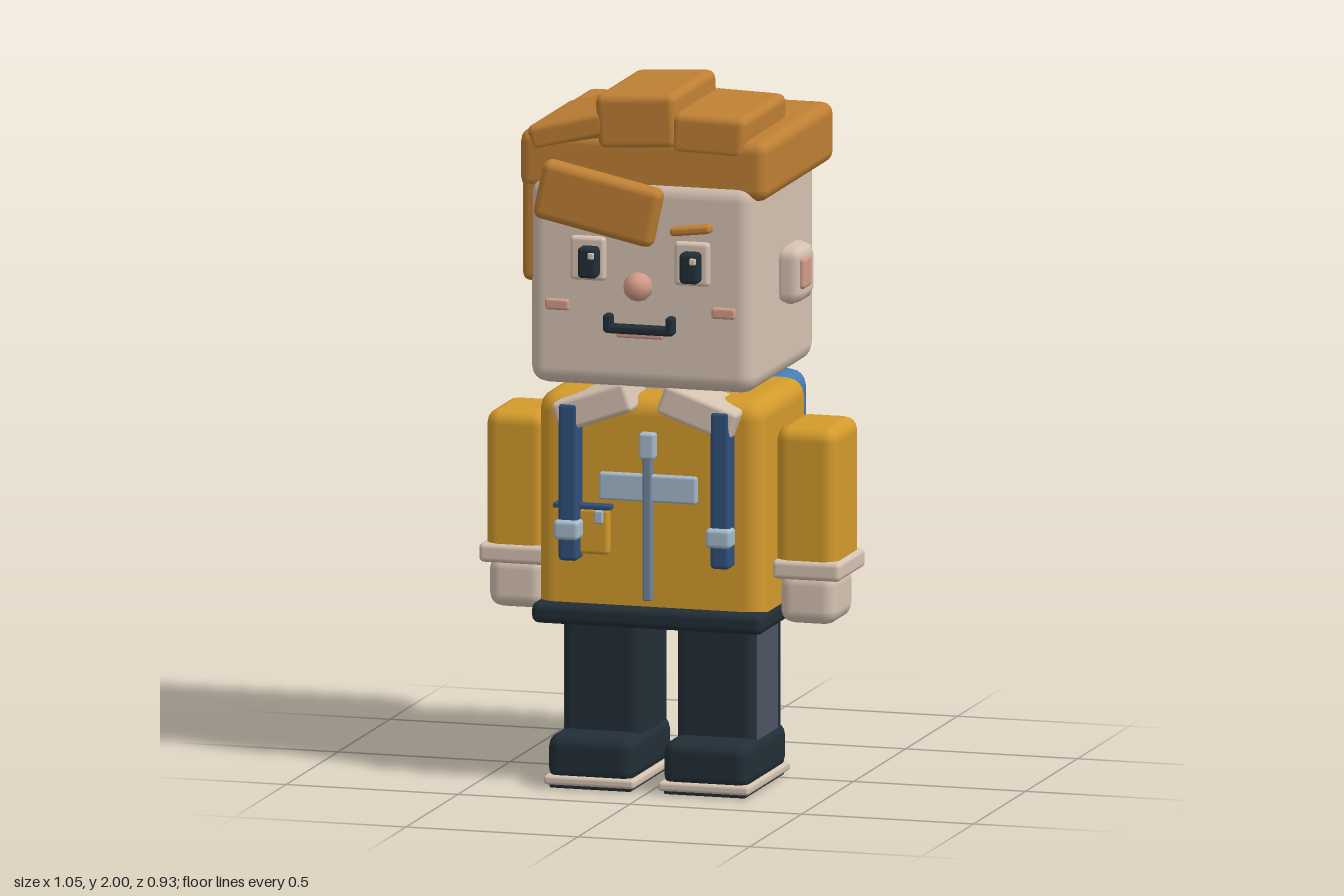
import * as THREE from 'three';
import { RoundedBoxGeometry } from 'three/addons/geometries/RoundedBoxGeometry.js';

export function createModel() {
  const root = new THREE.Group();
  root.name = 'blockyHiker';

  const mat = (name, color) => {
    const m = new THREE.MeshStandardMaterial({ color });
    m.name = name;
    return m;
  };
  const skin = mat('skin', 0xd6c3b2);
  const hair = mat('ginger hair', 0xc08034);
  const jacket = mat('yellow jacket', 0xd49b2c);
  const dark = mat('dark navy', 0x222e37);
  const grey = mat('grey stripe', 0x4c5364);
  const blue = mat('pack blue', 0x467cb5);
  const deepBlue = mat('deep blue', 0x304f7c);
  const silver = mat('silver', 0xa5bacb);
  const steel = mat('steel', 0x71869c);
  const pink = mat('pink', 0xd29c89);

  // Bevelled box given by its [min, max] range on each axis, with optional roll about z
  function box(name, material, [x0, x1], [y0, y1], [z0, z1], bevel = 0.03, roll = 0, seg = 2, parent = root) {
    const w = x1 - x0, h = y1 - y0, d = z1 - z0;
    const r = Math.min(bevel, 0.45 * Math.min(w, h, d));
    const mesh = new THREE.Mesh(new RoundedBoxGeometry(w, h, d, seg, r), material);
    mesh.name = name;
    mesh.position.set((x0 + x1) / 2, (y0 + y1) / 2, (z0 + z1) / 2);
    mesh.rotation.z = roll;
    parent.add(mesh);
    return mesh;
  }
  // Box placed on side s (+1 left, -1 right)
  const sided = (s, name, material, [a, b], y, z, bevel, roll = 0, seg = 2) =>
    box((s > 0 ? 'left' : 'right') + name, material, s > 0 ? [a, b] : [-b, -a], y, z, bevel, roll * s, seg);

  // Head and neck
  box('head', skin, [-0.33, 0.33], [1.155, 1.75], [-0.205, 0.395], 0.05);
  box('neck', skin, [-0.12, 0.12], [1.08, 1.2], [-0.04, 0.19], 0.02);

  // Hair: cap, side patch, top tufts and swept fringe
  box('hairCap', hair, [-0.362, 0.362], [1.7, 1.872], [-0.287, 0.38], 0.035);
  box('hairSide', hair, [-0.355, -0.205], [1.44, 1.76], [-0.24, 0.375], 0.025);
  box('hairTuftRight', hair, [-0.335, -0.105], [1.835, 1.91], [-0.025, 0.383], 0.02, 0.25);
  box('hairTuftMiddle', hair, [-0.137, 0.1], [1.83, 1.99], [-0.025, 0.385], 0.025, 0.06);
  box('hairTuftLeft', hair, [0.08, 0.3], [1.82, 1.942], [-0.025, 0.383], 0.025, -0.03);
  box('fringe', hair, [-0.298, 0.058], [1.595, 1.765], [0.365, 0.432], 0.025, -0.21);
  box('eyebrow', hair, [0.092, 0.21], [1.607, 1.632], [0.385, 0.427], 0.01, 0.12);

  // Eyes, with pupils glancing to the left
  for (const s of [-1, 1]) {
    const px = s * 0.148 + 0.006;
    sided(s, 'EyeWhite', skin, [0.1, 0.203], [1.46, 1.585], [0.38, 0.412], 0.012);
    box('pupil', dark, [px - 0.028, px + 0.028], [1.472, 1.56], [0.4, 0.448], 0.012);
    box('eyeGlint', skin, [px + 0.004, px + 0.022], [1.528, 1.547], [0.44, 0.455], 0.004);
    sided(s, 'Cheek', pink, [0.207, 0.277], [1.37, 1.402], [0.385, 0.406], 0.008);
    sided(s, 'MouthCorner', dark, [0.078, 0.103], [1.318, 1.37], [0.385, 0.425], 0.009);
    // Ears
    sided(s, 'Ear', skin, [0.31, 0.396], [1.37, 1.535], [0.005, 0.162], 0.036, 0, 1);
    sided(s, 'InnerEar', pink, [0.37, 0.402], [1.415, 1.505], [0.07, 0.146], 0.012);
  }
  box('mouth', dark, [-0.1, 0.1], [1.315, 1.341], [0.385, 0.422], 0.01);
  box('lowerLip', pink, [-0.068, 0.068], [1.303, 1.32], [0.385, 0.41], 0.006);
  const nose = new THREE.Mesh(new THREE.IcosahedronGeometry(0.042, 1), pink);
  nose.name = 'nose';
  nose.position.set(0, 1.453, 0.422);
  root.add(nose);

  // Jacket body and hem
  box('jacketBody', jacket, [-0.33, 0.33], [0.46, 1.12], [-0.135, 0.315], 0.055);
  box('hem', dark, [-0.337, 0.337], [0.465, 0.526], [-0.128, 0.345], 0.022);

  // Zip, chest band and chest pocket
  box('zip', steel, [-0.013, 0.013], [0.545, 0.97], [0.3, 0.338], 0.006);
  box('zipPull', silver, [-0.023, 0.023], [0.948, 1.022], [0.3, 0.345], 0.008);
  box('chestBand', silver, [-0.142, 0.142], [0.825, 0.903], [0.3, 0.333], 0.008);
  box('chestPocket', jacket, [-0.262, -0.112], [0.668, 0.8], [0.3, 0.335], 0.012);
  box('pocketTrim', deepBlue, [-0.272, -0.103], [0.797, 0.812], [0.3, 0.345], 0.005);
  box('pocketTab', silver, [-0.152, -0.126], [0.758, 0.795], [0.32, 0.345], 0.005);

  for (const s of [-1, 1]) {
    // Collar flaps and shoulder straps
    sided(s, 'Collar', skin, [0.04, 0.265], [1.047, 1.135], [0.19, 0.368], 0.014, -0.34);
    sided(s, 'Strap', deepBlue, [0.193, 0.249], [0.653, 1.1], [0.3, 0.372], 0.012);
    sided(s, 'Buckle', silver, [0.184, 0.258], [0.715, 0.77], [0.33, 0.39], 0.012);

    // Arms
    sided(s, 'Sleeve', jacket, [0.332, 0.512], [0.62, 1.037], [-0.03, 0.212], 0.04);
    sided(s, 'Cuff', skin, [0.327, 0.526], [0.605, 0.66], [-0.034, 0.222], 0.015);
    sided(s, 'Hand', skin, [0.34, 0.507], [0.475, 0.625], [0.01, 0.203], 0.04);

    // Legs with an outer stripe, shoes with a pale sole rim
    sided(s, 'Leg', dark, [0.052, 0.279], [0.1, 0.49], [-0.053, 0.235], 0.03);
    sided(s, 'LegStripe', grey, [0.274, 0.282], [0.14, 0.466], [0.003, 0.203], 0.002);
    sided(s, 'Shoe', dark, [0.042, 0.293], [0.02, 0.152], [-0.055, 0.338], 0.035);
    sided(s, 'Sole', skin, [0.034, 0.299], [0.01, 0.037], [-0.06, 0.346], 0.01);
    sided(s, 'Tread', dark, [0.048, 0.285], [0, 0.02], [-0.046, 0.332], 0.004);
  }

  // Backpack with pocket, toothed zip and carry handle
  box('backpack', blue, [-0.255, 0.255], [0.52, 1.092], [-0.396, -0.12], 0.05);
  box('packPocket', deepBlue, [-0.204, 0.204], [0.592, 0.873], [-0.446, -0.37], 0.028);
  box('packHandle', deepBlue, [-0.118, 0.118], [1.125, 1.175], [-0.294, -0.22], 0.016);
  box('packZip', silver, [-0.172, 0.172], [0.873, 0.884], [-0.462, -0.446], 0.003);
  for (let i = 0; i < 18; i++) {
    const x = -0.162 + i * 0.019;
    box('zipTooth', silver, [x - 0.005, x + 0.005], [0.87, 0.888], [-0.465, -0.45], 0.002, 0, 1);
  }

  return root;
}
